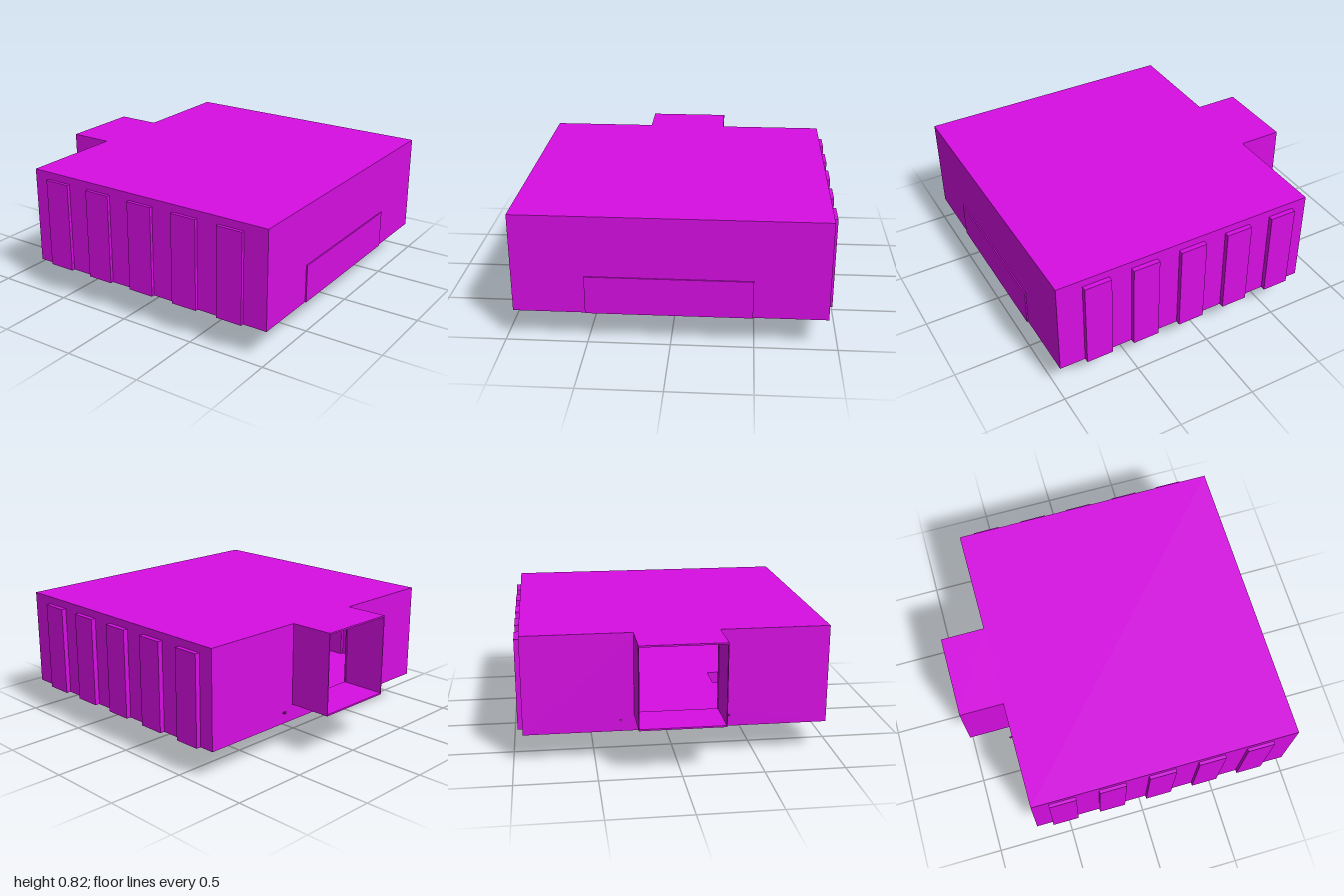
import * as THREE from 'three';

const T = 0.01; // wall thickness

export function createModel() {
  const group = new THREE.Group();
  const material = new THREE.MeshStandardMaterial({ color: 0xd60ee2, flatShading: true, side: THREE.DoubleSide });

  const add = (name, geometry, parent = group) => {
    const mesh = new THREE.Mesh(geometry, material);
    mesh.name = name;
    parent.add(mesh);
    return mesh;
  };

  // Box given by its limits on each axis
  const slab = (name, [x0, x1], [y0, y1], [z0, z1], parent) => {
    const mesh = add(name, new THREE.BoxGeometry(x1 - x0, y1 - y0, z1 - z0), parent);
    mesh.position.set((x0 + x1) / 2, (y0 + y1) / 2, (z0 + z1) / 2);
    return mesh;
  };

  // Thin upright panel with rectangular holes, each given as [u0, u1, v0, v1]
  const rect = (path, [u0, u1, v0, v1]) => {
    path.moveTo(u0, v0);
    path.lineTo(u1, v0);
    path.lineTo(u1, v1);
    path.lineTo(u0, v1);
    path.closePath();
    return path;
  };
  const panel = (name, outline, holes) => {
    const shape = rect(new THREE.Shape(), outline);
    for (const hole of holes) shape.holes.push(rect(new THREE.Path(), hole));
    return add(name, new THREE.ExtrudeGeometry(shape, { depth: T, bevelEnabled: false }));
  };

  // Thin rod between two points
  const rod = (name, a, b, radius) => {
    const from = new THREE.Vector3(...a), to = new THREE.Vector3(...b);
    const dir = to.clone().sub(from);
    const mesh = add(name, new THREE.CylinderGeometry(radius, radius, dir.length(), 6));
    mesh.position.copy(from).add(to).multiplyScalar(0.5);
    mesh.quaternion.setFromUnitVectors(new THREE.Vector3(0, 1, 0), dir.normalize());
  };

  const X0 = -0.72, X1 = 0.99, Y0 = 0.2, Y1 = 0.823, Z0 = -0.937, Z1 = 0.946;

  // Room shell: roof, end wall, floor with two openings, wall with the doorway
  const pits = [[0.36, 0.65], [-0.64, -0.35]];
  slab('roof', [X0, X1], [Y1 - T, Y1], [Z0, Z1]);
  slab('endWall', [X1 - T, X1], [Y0, Y1], [Z0, Z1]);
  slab('endWallPanel', [X1, 0.998], [Y0, 0.44], [-0.49, 0.51]);
  const floor = panel('floor', [X0, X1, Z0, Z1], pits.map(([a, b]) => [0.07, 0.29, a + T, b - T]));
  floor.rotation.x = Math.PI / 2;
  floor.position.y = Y0 + T;
  const doorWall = panel('doorwayWall', [-Z1, -Z0, Y0, Y1], [[-0.255, 0.25, 0.315, Y1 - T]]);
  doorWall.rotation.y = Math.PI / 2;
  doorWall.position.x = X0;

  // Long walls, each with five shallow projecting bays
  for (const [side, z, out, shift] of [['front', Z1, 0.967, 0], ['back', Z0, -0.968, -0.008]]) {
    const bays = [-0.527, -0.207, 0.113, 0.433, 0.748].map((x) => x + shift);
    const wall = panel(side + 'Wall', [X0, X1, Y0, Y1], bays.map((x) => [x - 0.076, x + 0.076, Y0 + T, 0.765]));
    wall.position.z = z > 0 ? z - T : z;
    const depth = [Math.min(z, out), Math.max(z, out)];
    const face = z > 0 ? [out - T, out] : [out, out + T];
    for (const x of bays) {
      const bay = new THREE.Group();
      bay.name = side + 'Bay';
      group.add(bay);
      slab('bayFace', [x - 0.086, x + 0.086], [Y0, 0.775], face, bay);
      slab('bayTop', [x - 0.086, x + 0.086], [0.765, 0.775], depth, bay);
      slab('bayBottom', [x - 0.086, x + 0.086], [Y0, Y0 + T], depth, bay);
      slab('baySide', [x - 0.086, x - 0.076], [Y0, 0.775], depth, bay);
      slab('baySide', [x + 0.076, x + 0.086], [Y0, 0.775], depth, bay);
    }
  }

  // Entrance passage, open at its outer end
  slab('passageRoof', [-1, X0], [Y1 - T, Y1], [-0.26, 0.265]);
  slab('passageFloor', [-1, X0], [0.305, 0.315], [-0.26, 0.265]);
  slab('passageWall', [-1, X0], [0.305, Y1], [-0.26, -0.255]);
  slab('passageWall', [-1, X0], [0.305, Y1], [0.26, 0.265]);

  // Wells below the floor, open at the bottom
  for (const [a, b] of pits) {
    slab('wellWall', [0.06, 0.065], [0.1, Y0], [a, b]);
    slab('wellWall', [0.295, 0.3], [0.1, Y0], [a, b]);
    slab('wellWall', [0.06, 0.3], [0.1, Y0], [a, a + 0.005]);
    slab('wellWall', [0.06, 0.3], [0.1, Y0], [b - 0.005, b]);
  }

  // Rods hanging through the wells
  rod('wellRod', [0.18, 0.2, 0.5], [0.195, 0.005, 0.553], 0.006);
  rod('wellRod', [0.205, 0.2, 0.5], [0.213, 0.005, 0.553], 0.006);
  rod('wellRod', [0.18, 0.16, -0.445], [0.177, 0.035, -0.472], 0.006);

  // Small pegs beside the passage and a thin plate under the floor
  for (const z of [-0.34, 0.33]) rod('wallPeg', [X0, 0.27, z], [-0.745, 0.28, z], 0.007);
  slab('floorPlate', [0.82, 0.87], [0.196, Y0], [-0.74, -0.53]);

  return group;
}
